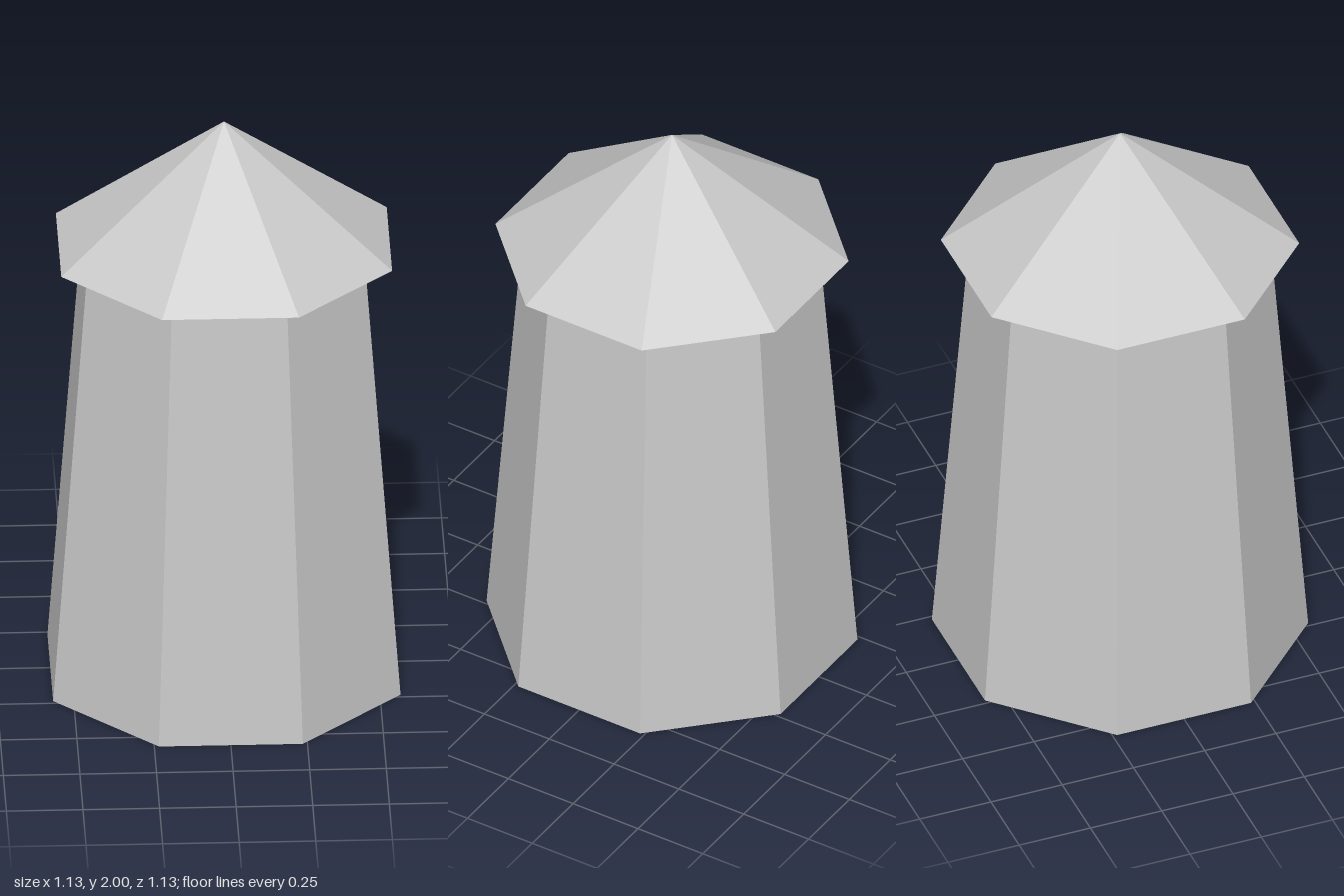
import * as THREE from 'three';

const SIDES = 8;
// Distance to a flat side -> distance to a corner
const cornerRadius = (flat) => flat / Math.cos(Math.PI / SIDES);

export function createModel() {
  const group = new THREE.Group();
  const stone = new THREE.MeshStandardMaterial({ color: 0xc8c8c8, flatShading: true });
  stone.name = 'lightGrey';

  // Octagonal section with flat sides facing the axes
  function addSection(name, topFlat, bottomFlat, y0, y1) {
    const geometry = new THREE.CylinderGeometry(
      cornerRadius(topFlat), cornerRadius(bottomFlat), y1 - y0, SIDES);
    geometry.rotateY(Math.PI / SIDES);
    const mesh = new THREE.Mesh(geometry, stone);
    mesh.name = name;
    mesh.position.y = (y0 + y1) / 2;
    group.add(mesh);
  }

  // Tapered tower body
  addSection('towerBody', 0.455, 0.567, 0, 1.541);
  // Pointed roof, floating just above the body
  addSection('roof', 0, 0.54, 1.556, 2);

  return group;
}
